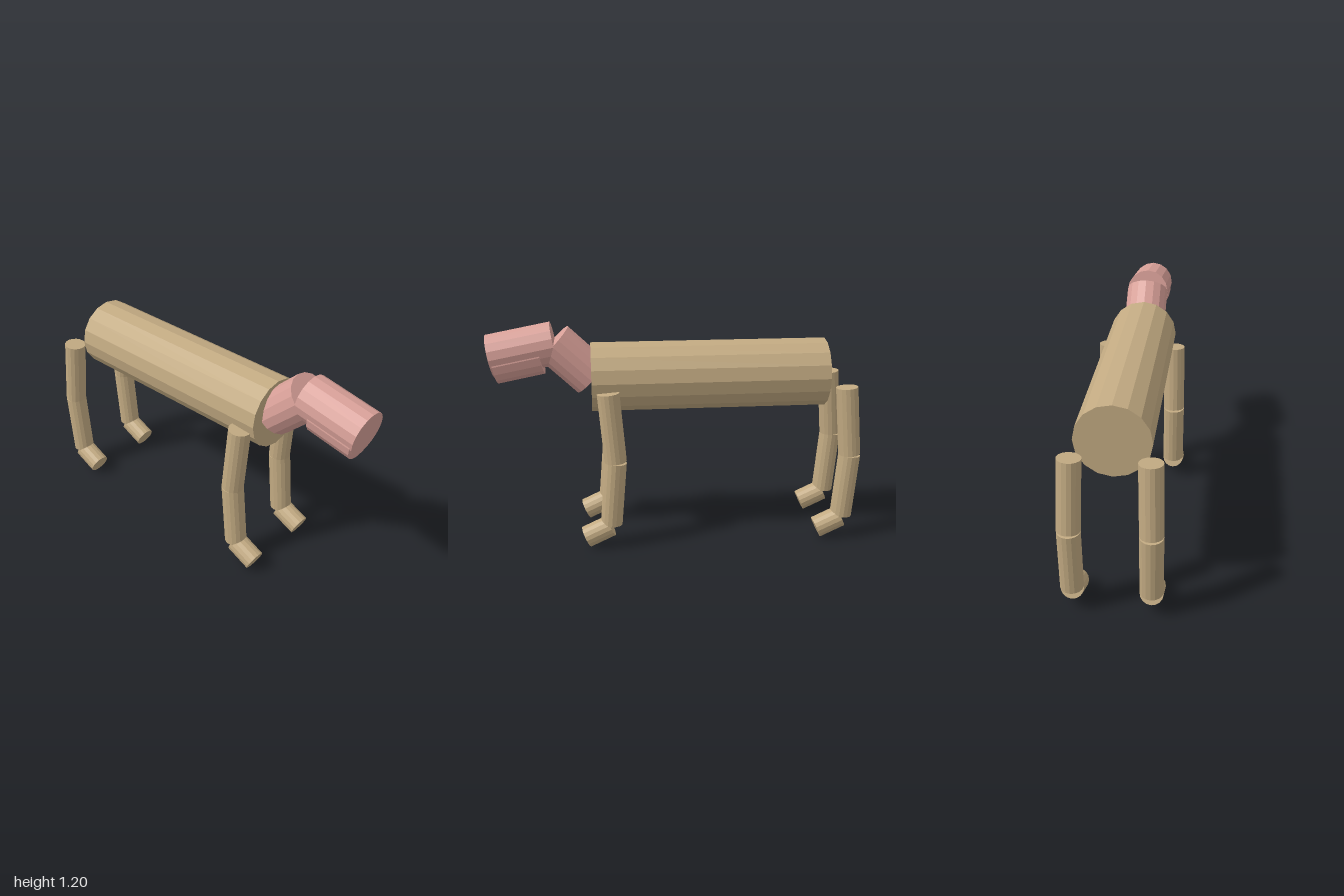
import * as THREE from 'three';

const tan = new THREE.MeshStandardMaterial({ color: 0xc2aa82, flatShading: true });
tan.name = 'tan hide';
const pink = new THREE.MeshStandardMaterial({ color: 0xd8a098, flatShading: true });
pink.name = 'pink skin';

// Capped cylinder running between two points
function limb(name, from, to, radius, material) {
  const a = new THREE.Vector3(...from);
  const b = new THREE.Vector3(...to);
  const axis = b.clone().sub(a);
  const mesh = new THREE.Mesh(
    new THREE.CylinderGeometry(radius, radius, axis.length(), 16), material);
  mesh.quaternion.setFromUnitVectors(new THREE.Vector3(0, 1, 0), axis.normalize());
  mesh.position.copy(a).add(b).multiplyScalar(0.5);
  mesh.name = name;
  return mesh;
}

// Leg of three jointed segments; side is +1 for left, -1 for right
function leg(name, side, z) {
  const group = new THREE.Group();
  group.name = name;
  const x = 0.195 * side;
  group.add(
    limb('upperLeg', [x, 0.484, z - 0.016], [0.186 * side, 0.858, z + 0.016], 0.059, tan),
    limb('lowerLeg', [x, 0.131, z + 0.013], [x, 0.481, z - 0.016], 0.059, tan),
    limb('foot', [x, 0.118, z + 0.016], [x, 0.056, z + 0.15], 0.059, tan));
  return group;
}

export function createModel() {
  const model = new THREE.Group();
  model.name = 'animal';

  // Body
  model.add(limb('torso', [0, 0.904, -0.82], [0, 0.904, 0.45], 0.186, tan));

  // Neck, head and lower jaw
  model.add(
    limb('neck', [0, 0.906, 0.446], [0, 1.094, 0.644], 0.117, pink),
    limb('head', [0, 1.091, 0.639], [0, 1.027, 0.976], 0.117, pink),
    limb('jaw', [0, 1.038, 0.713], [0, 0.99, 0.959], 0.112, pink));

  // Four legs
  for (const [sideName, side] of [['Left', 1], ['Right', -1]]) {
    model.add(leg('front' + sideName + 'Leg', side, 0.35));
    model.add(leg('rear' + sideName + 'Leg', side, -0.922));
  }
  return model;
}
